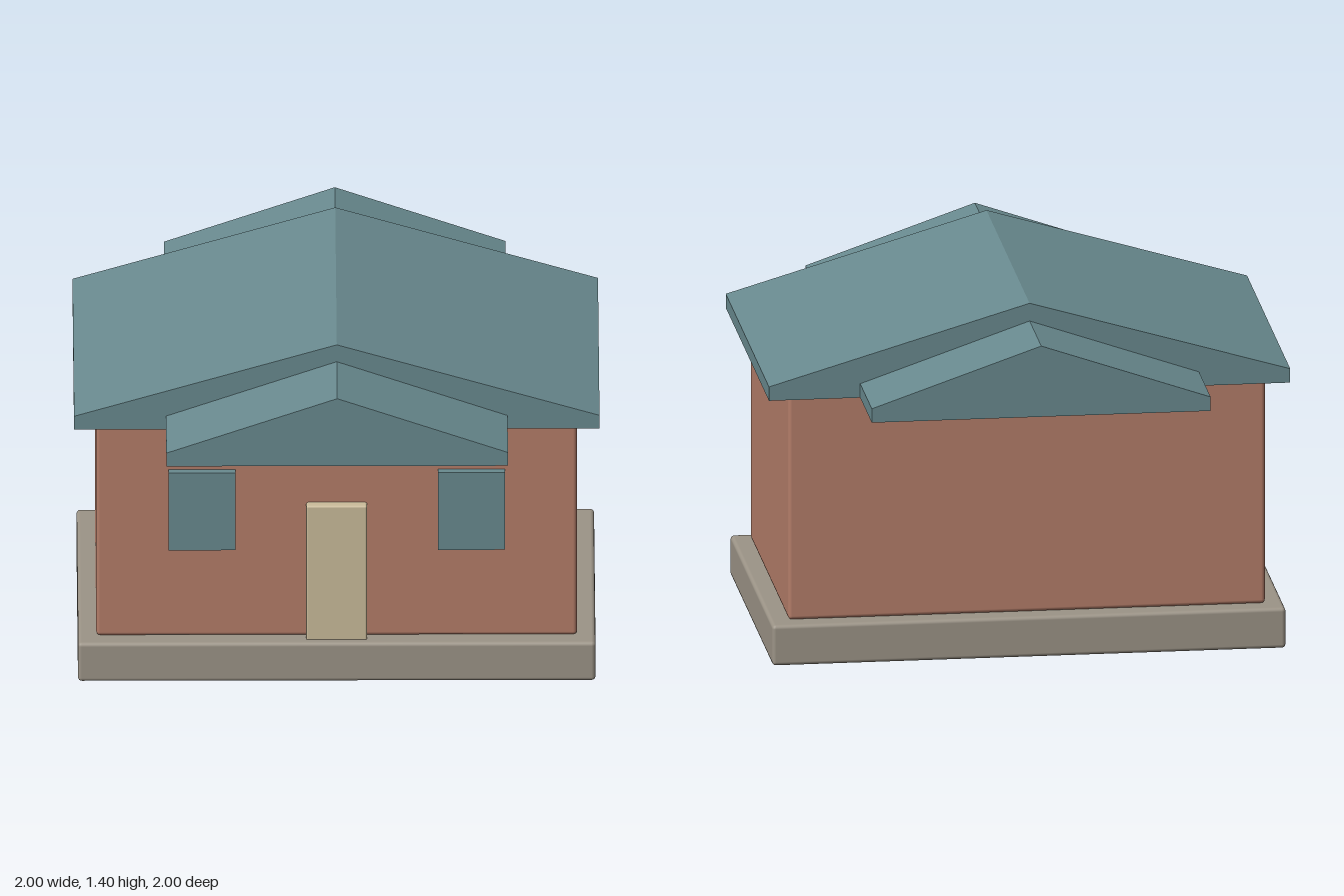
import * as THREE from 'three';
import { RoundedBoxGeometry } from 'three/addons/geometries/RoundedBoxGeometry.js';

export function createModel() {
  const house = new THREE.Group();
  house.name = 'house';

  const paint = (name, color) => {
    const material = new THREE.MeshStandardMaterial({ color });
    material.name = name;
    return material;
  };
  const stone = paint('stone', 0x9c9487);
  const brick = paint('brick', 0xb47d69);
  const slate = paint('slate', 0x698a8f);
  const cream = paint('cream', 0xcbbc9b);

  const add = (name, geometry, material) => {
    const mesh = new THREE.Mesh(geometry, material);
    mesh.name = name;
    house.add(mesh);
    return mesh;
  };

  // Box given by its extents, with softened edges when radius > 0
  const block = (name, material, [x0, x1], [y0, y1], [z0, z1], radius = 0) => {
    const size = [x1 - x0, y1 - y0, z1 - z0];
    const geometry = radius
      ? new RoundedBoxGeometry(...size, 2, radius)
      : new THREE.BoxGeometry(...size);
    add(name, geometry, material).position.set((x0 + x1) / 2, (y0 + y1) / 2, (z0 + z1) / 2);
  };

  // Solid gable with a short vertical eave, its ridge running along z
  const gable = (name, halfWidth, halfDepth, ridge) => {
    const [bottom, eave] = [1.055, 1.11];
    const profile = new THREE.Shape([
      new THREE.Vector2(-halfWidth, bottom),
      new THREE.Vector2(halfWidth, bottom),
      new THREE.Vector2(halfWidth, eave),
      new THREE.Vector2(0, ridge),
      new THREE.Vector2(-halfWidth, eave),
    ]);
    const geometry = new THREE.ExtrudeGeometry(profile, { depth: 2 * halfDepth, bevelEnabled: false });
    geometry.translate(0, 0, -halfDepth);
    add(name, geometry, slate);
  };

  // Foundation and walls
  block('foundation', stone, [-0.985, 0.985], [0, 0.16], [-0.638, 0.638], 0.015);
  block('walls', brick, [-0.915, 0.915], [0.16, 1.055], [-0.568, 0.568], 0.015);

  // Wide main roof crossed by a narrower, deeper porch roof
  gable('mainRoof', 1, 0.65, 1.405);
  gable('porchRoof', 0.65, 1, 1.335);

  // Front door and the two windows beside it
  block('door', cream, [-0.116, 0.116], [0.155, 0.715], [0.56, 0.606], 0.008);
  block('leftWindow', slate, [0.386, 0.64], [0.53, 0.852], [0.56, 0.6]);
  block('rightWindow', slate, [-0.64, -0.386], [0.53, 0.852], [0.56, 0.6]);

  return house;
}
